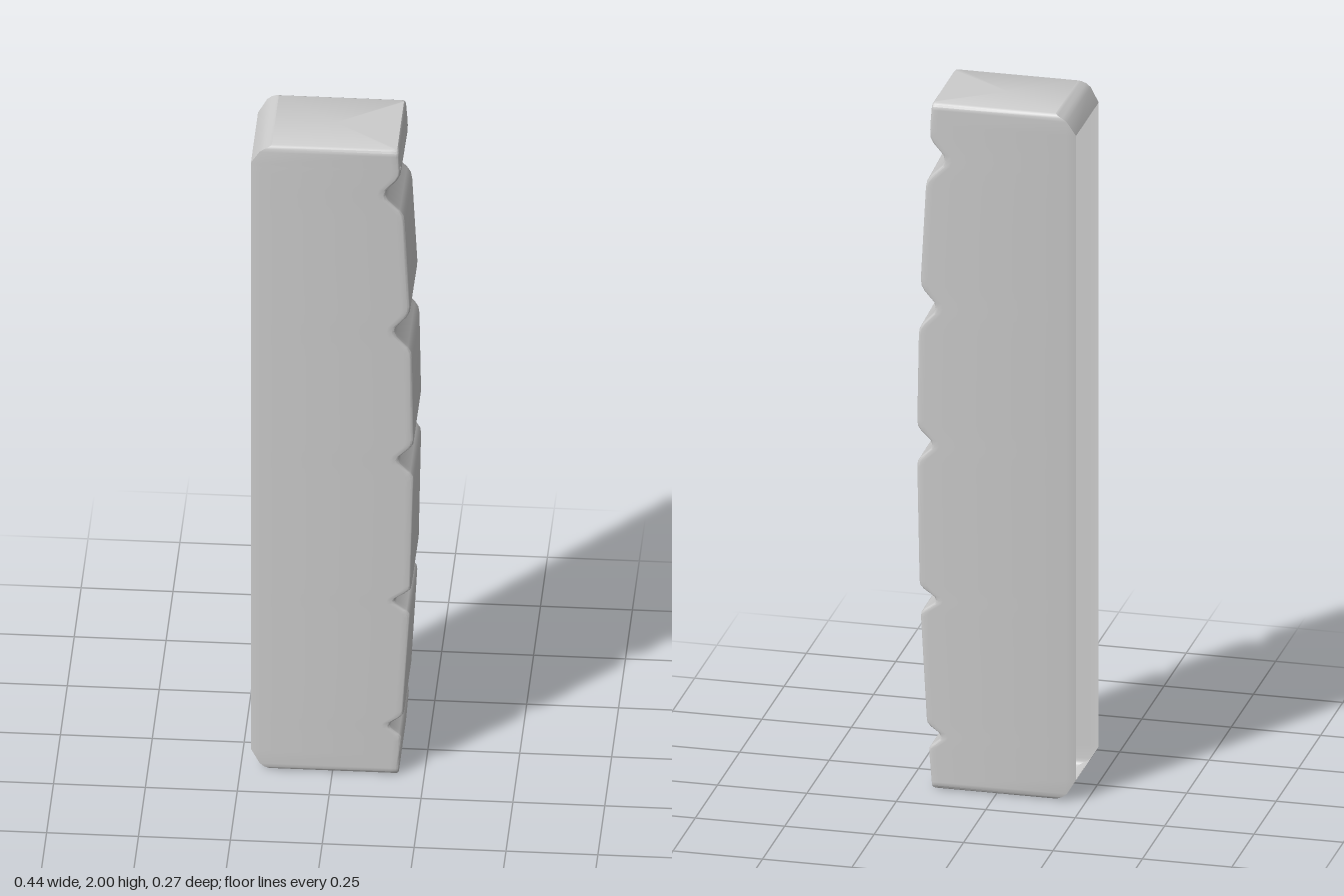
import * as THREE from 'three';
import { toCreasedNormals } from 'three/addons/utils/BufferGeometryUtils.js';

const HALF_DEPTH = 0.135, RIM_LOW = 0.06, RIM_HIGH = 1.94;

// Notches in the bowed edge: height, half-width, depth, slope along z
const notches = [
  [0.155, 0.037, 0.036, 0.01],
  [0.553, 0.04, 0.044, 0.02],
  [1.005, 0.052, 0.042, 0.02],
  [1.41, 0.064, 0.045, 0.06],
  [1.845, 0.065, 0.047, 0.08],
];
// Rounded V: offset in half-widths, fraction of depth
const notchShape = [[-1.3, 0], [-1, 0.05], [-0.75, 0.25], [-0.25, 0.9], [0, 1],
  [0.25, 0.9], [0.75, 0.25], [1, 0.05], [1.3, 0]];
// Chamfered end: height, left x, inset
const endShape = [[0, -0.165, 0.01], [0.004, -0.172, 0.003], [0.01, -0.185, 0],
  [0.02, -0.198, 0], [RIM_LOW, -0.222, 0]];

const bow = (y) => 0.222 - 0.042 * (y - 1) ** 2;

// Horizontal cross-section rows from bottom to top
function makeRows() {
  const rows = [];
  for (const [y, left, inset] of endShape) {
    rows.push({ y, left, inset, right: bow(y) - inset * 0.4, tilt: 0 });
    rows.push({ y: 2 - y, left, inset, right: bow(y) - inset * 0.4, tilt: 0 });
  }
  for (const [cy, half, depth, tilt] of notches) {
    for (const [t, d] of notchShape) {
      const y = cy + t * half;
      rows.push({ y, left: -0.222, inset: 0, right: bow(y) - d * depth, tilt });
    }
  }
  return rows.sort((a, b) => a.y - b.y);
}

// U-shaped section: front side, rounded corner, notched edge, and back mirrored
function section({ y, left, inset, right, tilt }) {
  const r = 0.008;
  const depthAt = (x) => HALF_DEPTH - inset - Math.max(0, -0.195 - x) * 0.27;
  const mid = Math.max(-0.195, left + 0.002);
  const half = [[left, depthAt(left)], [mid, depthAt(mid)], [right - 0.022, depthAt(0)]];
  for (let i = 0; i <= 3; i++) {
    const a = (i / 3) * Math.PI / 2;
    half.push([right - r + r * Math.sin(a), depthAt(0) - r + r * Math.cos(a)]);
  }
  half.push([right, depthAt(0) - 0.022]);
  const back = half.map(([x, z]) => [x, -z]).reverse();
  return [...half, ...back].map(([x, z]) => [x, y + (x > 0 ? z * tilt : 0), z]);
}

function shellGeometry() {
  const rows = makeRows();
  const sections = rows.map(section);
  const n = sections[0].length;
  const positions = sections.flat(2);
  const index = [];
  for (let i = 0; i < rows.length - 1; i++) {
    // The left side is only closed along the end chamfers
    const closed = rows[i].y < RIM_LOW - 0.001 || rows[i + 1].y > RIM_HIGH + 0.001;
    for (let j = 0; j < (closed ? n : n - 1); j++) {
      const k = (j + 1) % n;
      const a = i * n + j, b = i * n + k;
      index.push(a, b, b + n, a, b + n, a + n);
    }
  }
  // End caps
  const base = rows.length * n, top = (rows.length - 1) * n;
  positions.push(0, 0, 0, 0, 2, 0);
  for (let j = 0; j < n; j++) {
    const k = (j + 1) % n;
    index.push(base, k, j, base + 1, top + j, top + k);
  }
  const geometry = new THREE.BufferGeometry();
  geometry.setAttribute('position', new THREE.Float32BufferAttribute(positions, 3));
  geometry.setIndex(index);
  return toCreasedNormals(geometry, 0.65);
}

export function createModel() {
  const group = new THREE.Group();
  group.name = 'stringNut';
  const material = new THREE.MeshStandardMaterial({ color: 0xcccccc, side: THREE.DoubleSide });
  const shell = new THREE.Mesh(shellGeometry(), material);
  shell.name = 'notchedShell';
  group.add(shell);
  return group;
}
